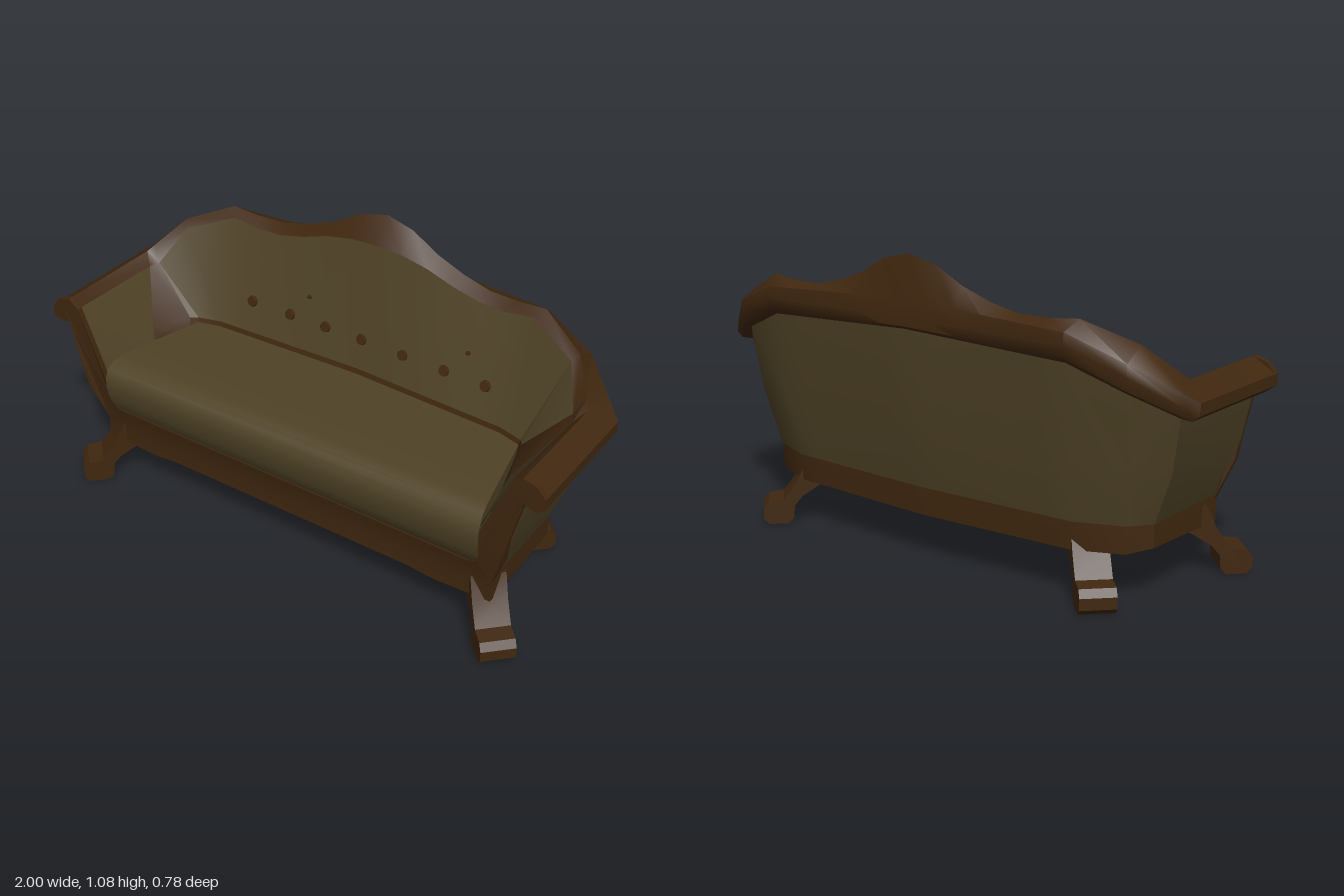
import * as THREE from 'three';
import { toCreasedNormals } from 'three/addons/utils/BufferGeometryUtils.js';

const wood = new THREE.MeshStandardMaterial({ color: 0x40270f, side: THREE.DoubleSide });
wood.name = 'dark wood';
const fabric = new THREE.MeshStandardMaterial({ color: 0x4f4226, side: THREE.DoubleSide });
fabric.name = 'olive fabric';

const lerp = THREE.MathUtils.lerp;
const mix = (a, b, t) => a.map((v, i) => lerp(v, b[i], t));

// heights of the rail along the back, from the shoulder to the centre
const crestY = [0.935, 0.925, 0.925, 0.95, 0.99, 1.05, 1.075];
const panelY = [0.91, 0.895, 0.9, 0.925, 0.96, 0.98, 0.985];

// one horizontal line around the sofa: arm front, arm back, corner, shoulder, centre, then mirrored
function line(front, back, corner, shoulder, centre, heights, turn = mix(back, corner, 0.2)) {
  const half = [front, back, turn, corner];
  for (let k = 0; k <= 6; k++) {
    const p = mix(shoulder, centre, k / 6);
    if (heights) p[1] = heights[k];
    half.push(p);
  }
  const other = half.slice(0, -1).reverse().map(([x, y, z]) => [-x, y, z]);
  return [...half, ...other];
}

const L = {
  rimTop: line([0.76, 0.22, 0.22], [0.76, 0.22, -0.11], [0.72, 0.22, -0.16], [0.58, 0.22, -0.22], [0, 0.22, -0.245]),
  rim: line([0.76, 0.17, 0.22], [0.76, 0.185, -0.11], [0.72, 0.17, -0.16], [0.58, 0.17, -0.22], [0, 0.17, -0.245]),
  baseLow: line([0.82, 0.17, 0.245], [0.82, 0.185, -0.13], [0.76, 0.17, -0.2], [0.6, 0.168, -0.265], [0, 0.165, -0.29]),
  baseTop: line([0.82, 0.265, 0.25], [0.82, 0.265, -0.13], [0.76, 0.265, -0.205], [0.6, 0.265, -0.27], [0, 0.265, -0.295]),
  middle: line([0.885, 0.45, 0.29], [0.89, 0.45, -0.15], [0.8, 0.47, -0.25], [0.62, 0.48, -0.31], [0, 0.5, -0.345]),
  under: line([0.93, 0.645, 0.29], [0.93, 0.64, -0.18], [0.81, 0.72, -0.295], [0.62, 0.8, -0.35], [0, 0.83, -0.38]),
  lip: line([0.975, 0.64, 0.29], [0.975, 0.64, -0.19], [0.82, 0.735, -0.32], [0.62, 0.82, -0.37], [0, 0.84, -0.39]),
  outer: line([1, 0.66, 0.29], [1, 0.66, -0.19], [0.83, 0.78, -0.33], [0.63, 0.86, -0.38], [0, 0.87, -0.39]),
  outerTop: line([1, 0.7, 0.29], [1, 0.7, -0.185], [0.825, 0.82, -0.325], [0.63, 0.9, -0.375], [0, 0.93, -0.383]),
  top: line([0.92, 0.75, 0.29], [0.92, 0.75, -0.12], [0.82, 0.865, -0.24], [0.65, 0.935, -0.32], [0, 1, -0.355], crestY),
  inner: line([0.88, 0.72, 0.29], [0.885, 0.71, -0.09], [0.8, 0.84, -0.22], [0.62, 0.91, -0.285], [0, 1, -0.285],
    panelY, [0.868, 0.715, -0.125]),
  panelLow: line([0.785, 0.51, 0.29], [0.755, 0.53, 0.06], [0.69, 0.535, -0.125], [0.6, 0.535, -0.15], [0, 0.535, -0.175],
    null, [0.71, 0.54, -0.1]),
  seatLine: line([0.77, 0.45, 0.29], [0.73, 0.47, 0.06], [0.68, 0.47, -0.105], [0.6, 0.47, -0.13], [0, 0.47, -0.155],
    null, [0.69, 0.47, -0.08]),
};

// surface through several lines, between two stations
function loft(names, from = 0, to = 20) {
  const pos = [], index = [], n = to - from + 1;
  for (const name of names) for (let i = from; i <= to; i++) pos.push(...L[name][i]);
  for (let j = 0; j < names.length - 1; j++) {
    for (let i = 0; i < n - 1; i++) {
      const a = j * n + i, b = a + 1, c = a + n, d = c + 1;
      index.push(a, b, c, b, d, c);
    }
  }
  const g = new THREE.BufferGeometry();
  g.setAttribute('position', new THREE.Float32BufferAttribute(pos, 3));
  g.setIndex(index);
  return g;
}

function shapeFrom(points) {
  return new THREE.Shape(points.map(([x, y]) => new THREE.Vector2(x, y)));
}

function moveVertices(g, rule) {
  const p = g.attributes.position, v = new THREE.Vector3();
  for (let i = 0; i < p.count; i++) {
    rule(v.fromBufferAttribute(p, i));
    p.setXYZ(i, v.x, v.y, v.z);
  }
  return g;
}

export function createModel() {
  const sofa = new THREE.Group();
  sofa.name = 'sofa';
  const add = (name, geometry, material, crease = 0.55) => {
    const m = new THREE.Mesh(crease ? toCreasedNormals(geometry, crease) : geometry, material);
    m.name = name;
    sofa.add(m);
    return m;
  };

  // wrap-around body
  add('baseFrame', loft(['rimTop', 'rim', 'baseLow', 'baseTop']), wood);
  add('outerUpholstery', loft(['baseTop', 'middle', 'under']), fabric);
  add('topRail', loft(['under', 'lip', 'outer', 'outerTop', 'top', 'inner']), wood, 0.7);
  add('backPanel', loft(['inner', 'panelLow'], 2, 18), fabric);
  add('backLowerTrim', loft(['panelLow', 'seatLine'], 2, 18), wood);
  for (const [a, b, c, d] of [[0, 1, 1, 2], [19, 20, 18, 19]]) {
    add('armPanel', loft(['inner', 'panelLow', 'seatLine'], a, b), fabric);
    add('cornerTrim', loft(['inner', 'panelLow', 'seatLine'], c, d), wood);
  }

  // front frame: apron and scrolled arm fronts in one board that leans back towards the foot
  const side = [[0.5, 0.17], [0.6, 0.16], [0.82, 0.17], [0.82, 0.25], [0.875, 0.39], [0.89, 0.49], [0.93, 0.655],
    [0.97, 0.64], [1, 0.66], [1, 0.7], [0.97, 0.735], [0.92, 0.75], [0.88, 0.72], [0.785, 0.48],
    [0.775, 0.36], [0.765, 0.33], [0.735, 0.318]];
  const mirrored = side.map(([x, y]) => [-x, y]).reverse();
  const board = new THREE.ExtrudeGeometry(shapeFrom([...side, ...mirrored]), { depth: 0.02, bevelEnabled: false });
  // extra rows are unnecessary: the lean only bends at profile points
  moveVertices(board, (v) => {
    v.z += 0.29 - 0.045 * THREE.MathUtils.clamp((0.44 - v.y) / 0.19, 0, 1);
  });
  add('frontFrame', board, wood, 0.3);

  const rim = new THREE.BoxGeometry(1.56, 0.055, 0.04);
  rim.translate(0, 0.1975, 0.235);
  add('frontRim', rim, wood, 0);

  // underside board
  const under = new THREE.ShapeGeometry(shapeFrom(L.rimTop.map(([x, , z]) => [x, z])));
  under.rotateX(Math.PI / 2);
  under.translate(0, 0.22, 0);
  add('underside', under, wood, 0);

  // seat cushion: side profile swept across, narrower at the back
  const seatProfile = shapeFrom([[-0.2, 0.3], [0.26, 0.3], [0.277, 0.32], [0.296, 0.37], [0.306, 0.42], [0.305, 0.46],
    [0.292, 0.495], [0.265, 0.517], [0.22, 0.525], [0.1, 0.525], [-0.2, 0.515]]);
  const seat = new THREE.ExtrudeGeometry(seatProfile, { depth: 1.56, bevelEnabled: false });
  seat.translate(0, 0, -0.78);
  seat.rotateY(-Math.PI / 2);
  moveVertices(seat, (v) => { v.x *= lerp(0.86, 1, THREE.MathUtils.clamp((v.z + 0.2) / 0.5, 0, 1)); });
  add('seatCushion', seat, fabric, 0.7);

  // buttons on the back
  const button = (x, y, r) => {
    const m = add('button', new THREE.CylinderGeometry(r * 0.85, r, 0.012, 10), wood);
    const ax = Math.abs(x);
    const t = (y - 0.535) / (0.45 - 0.17 * ax);
    m.position.set(x, y, lerp(-0.175 + 0.04 * ax, -0.285, t) + 0.003);
    m.rotation.x = 1.316;
  };
  for (const x of [-0.48, -0.31, -0.155, 0, 0.175, 0.345, 0.51]) button(x, 0.645, 0.022);
  for (const x of [-0.24, 0.42]) button(x, 0.73, 0.008);

  // splayed legs with block feet, set on the diagonals
  const legShape = shapeFrom([[-0.02, 0], [0, 0.02], [0, 0.06], [-0.02, 0.085], [-0.075, 0.092], [-0.125, 0.16],
    [-0.165, 0.245], [-0.29, 0.245], [-0.29, 0.185], [-0.215, 0.15], [-0.145, 0.105], [-0.115, 0.07],
    [-0.11, 0.02], [-0.09, 0]]);
  for (const sx of [1, -1]) {
    for (const [name, x, z, sz] of [['frontLeg', 0.905, 0.343, 1], ['backLeg', 0.745, -0.328, -1]]) {
      const g = new THREE.ExtrudeGeometry(legShape, { depth: 0.122, bevelEnabled: false });
      g.translate(0, 0, -0.061);
      const leg = add(name, g, wood, 0.5);
      leg.position.set(sx * x, 0, z);
      leg.rotation.y = Math.atan2(-sz, sx);
    }
  }
  return sofa;
}
